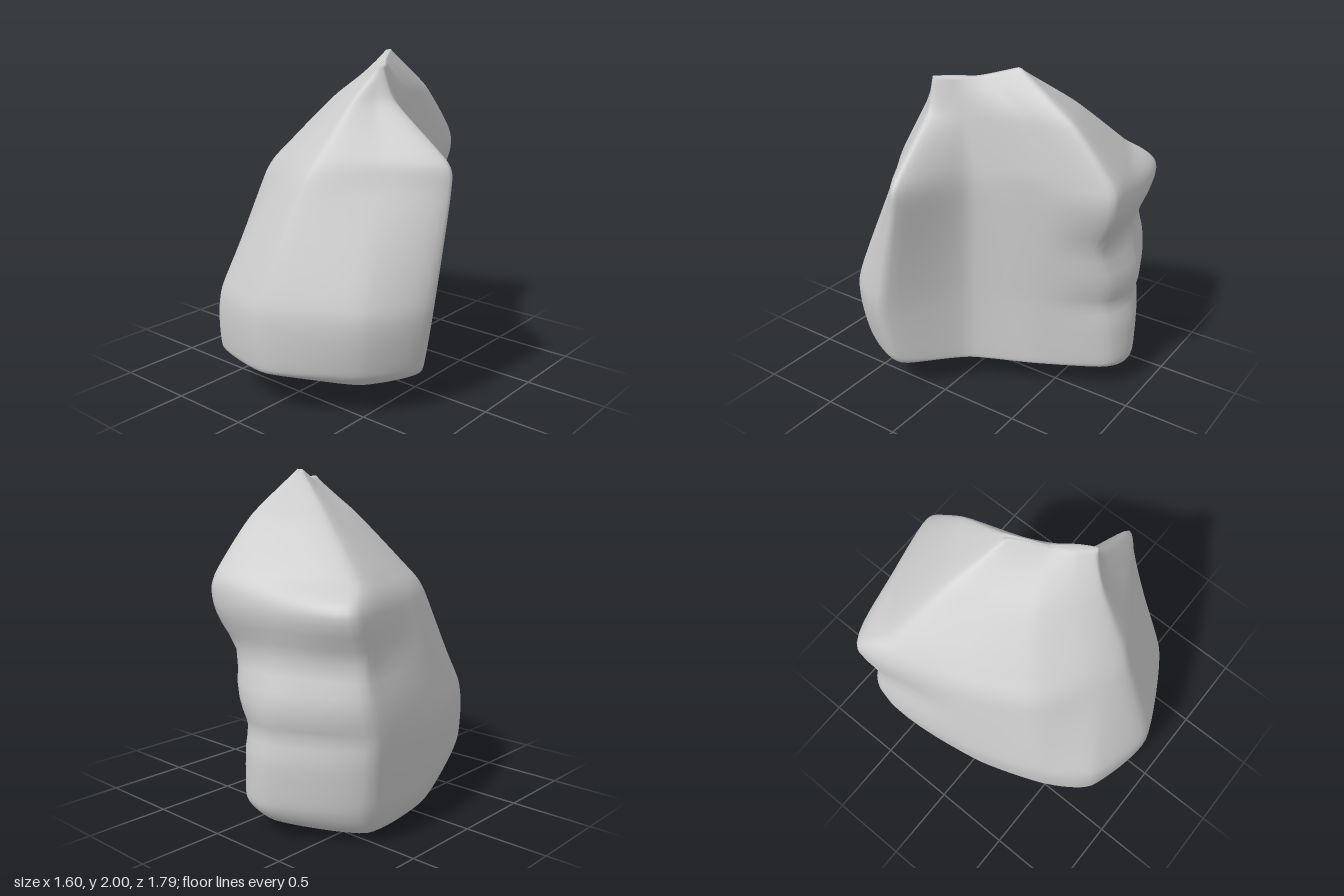
import * as THREE from 'three';

// Horizontal sections from crest to foot: [height, x,z pairs running
// fin tip > front > left flank > back > side > valley behind the fin]
const SECTIONS = [
  [1.95, .34, .14, .33, .16, .31, .14, .25, .07, .18, -.04, .10, -.17, .07, -.23, .07, -.25, .09, -.25, .19, -.08, .29, .05],
  [1.75, .42, .13, .34, .21, .23, .29, .08, .21, -.07, .07, -.20, -.18, -.28, -.40, -.10, -.53, .10, -.61, .18, -.35, .30, -.03],
  [1.45, .76, .10, .46, .32, .17, .50, -.06, .44, -.31, .24, -.50, -.10, -.63, -.55, -.25, -.78, .11, -.87, .20, -.45, .34, -.08],
  [1.28, .79, .11, .49, .37, .13, .60, -.11, .54, -.41, .33, -.61, -.06, -.77, -.71, -.32, -.86, .11, -.89, .20, -.45, .35, -.09],
  [0.65, .78, .23, .57, .60, .06, .87, -.35, .77, -.56, .50, -.73, .04, -.80, -.60, -.30, -.88, -.04, -.82, .17, -.45, .35, -.08],
  [0.30, .71, .22, .54, .58, .08, .87, -.36, .78, -.55, .52, -.70, .05, -.75, -.56, -.29, -.88, -.06, -.83, .17, -.46, .35, -.08],
];
const COLS = 88, ROWS = 72;
const { smoothstep } = THREE.MathUtils;

const bump = (y, at, width) => Math.exp(-(((y - at) / width) ** 2));
// The underside rises toward the fin and toward the front
const lift = (x, z) => Math.max(0.15 * smoothstep(x, -0.5, 0.15), 0.2 * smoothstep(z, 0.05, 0.85));
// Low tension gives flat facets with softly rounded edges
const softCurve = (points, closed, tension) =>
  new THREE.CatmullRomCurve3(points, closed, 'catmullrom', tension);

function controlRings() {
  const rings = SECTIONS.map(([y, ...xz], level) => {
    const ring = [];
    for (let k = 0; k < xz.length; k += 2) {
      const z = xz[k + 1];
      let height = y;
      // The back end of the crest is the highest point
      if (level === 0) height += 0.05 * smoothstep(-z, 0.08, 0.23);
      // The lowest section dips toward the back
      if (level === SECTIONS.length - 1) height -= 0.09 * smoothstep(-z, -0.4, 0.1);
      ring.push(new THREE.Vector3(xz[k], height, z));
    }
    return ring;
  });
  // Underside: the lowest section drawn in toward the foot
  const foot = rings[rings.length - 1];
  for (const [scale, height] of [[0.9, 0.05], [0.6, 0.005], [0, 0]]) {
    rings.push(foot.map((p) => {
      const x = -0.1 + (p.x + 0.1) * scale;
      const z = -0.03 + (p.z + 0.03) * scale;
      return new THREE.Vector3(x, lift(x, z) + height, z);
    }));
  }
  return rings;
}

function rockGeometry() {
  const loops = controlRings().map((ring) => {
    const curve = softCurve(ring, true, 0.32);
    return Array.from({ length: COLS }, (_, j) => curve.getPoint(j / COLS));
  });
  const columns = Array.from({ length: COLS }, (_, j) => softCurve(loops.map((l) => l[j]), false, 0.32));

  const positions = [];
  // Closing point of the crest
  for (let j = 0; j < COLS; j++) positions.push(0.2, 1.945, -0.05);
  for (let i = 0; i <= ROWS; i++) {
    for (const column of columns) {
      const p = column.getPoint(i / ROWS);
      // Worn hollows across the back and the back left corner
      const hollow = 0.075 * bump(p.y, 1.02, 0.15);
      const groove = 0.025 * bump(p.y, 0.6, 0.08);
      p.z += (hollow + groove) * smoothstep(-p.z, 0.45, 0.8);
      p.x += 0.5 * hollow * smoothstep(-p.x, 0.4, 0.75) * smoothstep(-p.z, 0, 0.5);
      positions.push(p.x, Math.max(p.y, 0), p.z);
    }
  }

  const index = [];
  for (let i = 0; i <= ROWS; i++) {
    for (let j = 0; j < COLS; j++) {
      const n = (j + 1) % COLS;
      const a = i * COLS + j, b = i * COLS + n;
      const c = a + COLS, d = b + COLS;
      // The first and last rows close to a point
      if (i > 0) index.push(a, b, d);
      if (i < ROWS) index.push(a, d, c);
    }
  }
  const geometry = new THREE.BufferGeometry();
  geometry.setAttribute('position', new THREE.Float32BufferAttribute(positions, 3));
  geometry.setIndex(index);
  geometry.computeVertexNormals();
  return geometry;
}

export function createModel() {
  const group = new THREE.Group();
  group.name = 'boulder';
  const rock = new THREE.Mesh(rockGeometry(), new THREE.MeshStandardMaterial({ color: 0xcccccc }));
  rock.name = 'rock';
  group.add(rock);
  return group;
}
